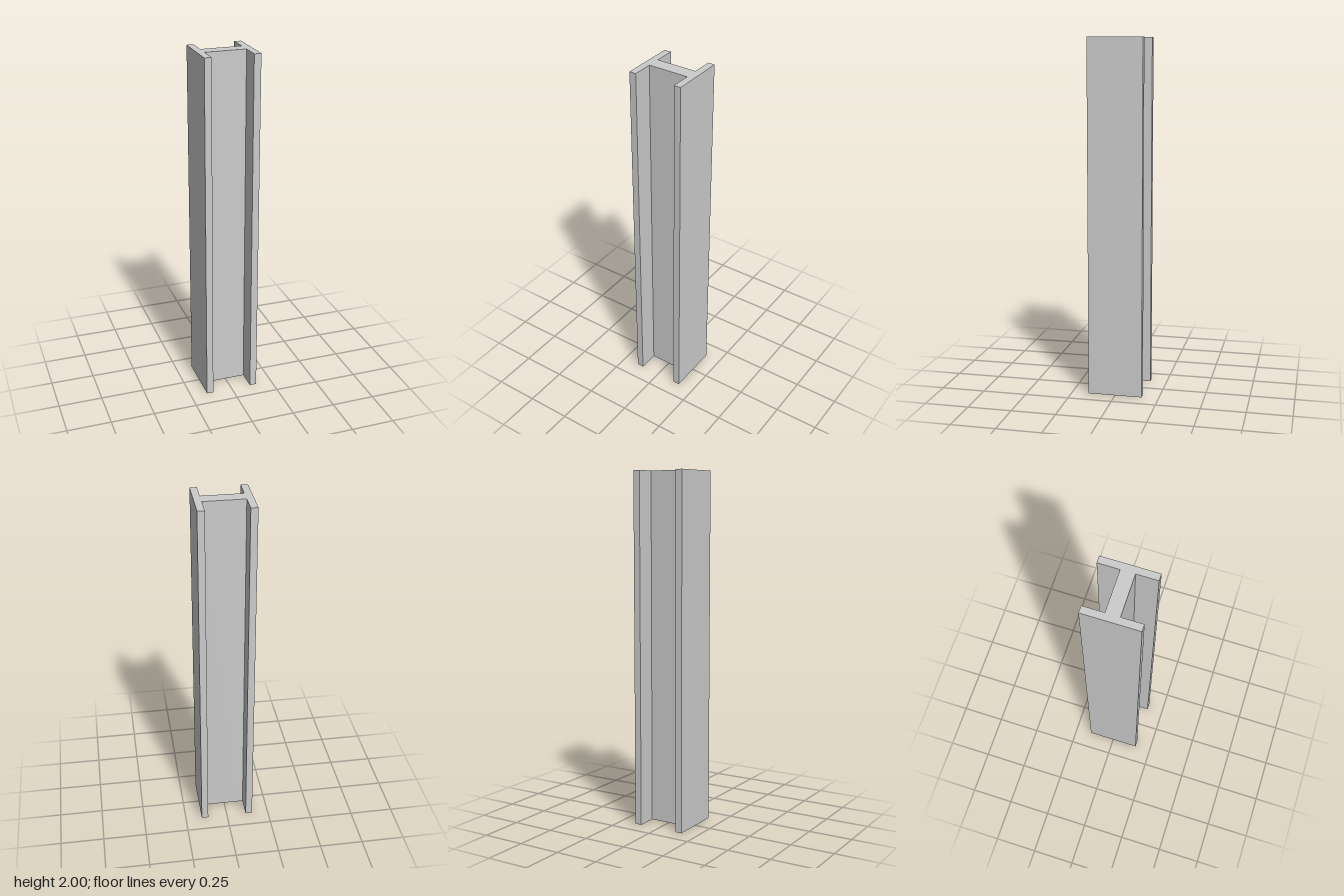
import * as THREE from 'three';

const HEIGHT = 2;
const HALF = 0.154; // half of the overall width and depth
const INNER = 0.115; // inner face of each flange
const WEB = 0.038; // half thickness of the web

export function createModel() {
  const group = new THREE.Group();
  group.name = 'steelBeam';

  // H-shaped cross-section: one quarter mirrored around the outline
  const section = new THREE.Shape([
    [HALF, -HALF], [HALF, HALF], [INNER, HALF], [INNER, WEB],
    [-INNER, WEB], [-INNER, HALF], [-HALF, HALF], [-HALF, -HALF],
    [-INNER, -HALF], [-INNER, -WEB], [INNER, -WEB], [INNER, -HALF],
  ].map(([x, z]) => new THREE.Vector2(x, z)));

  // Flanges and web extruded as one solid, stood upright
  const geometry = new THREE.ExtrudeGeometry(section, { depth: HEIGHT, bevelEnabled: false });
  geometry.rotateX(-Math.PI / 2);

  const beam = new THREE.Mesh(
    geometry,
    new THREE.MeshStandardMaterial({ color: 0xcccccc, flatShading: true }),
  );
  beam.name = 'beam';
  group.add(beam);
  return group;
}
